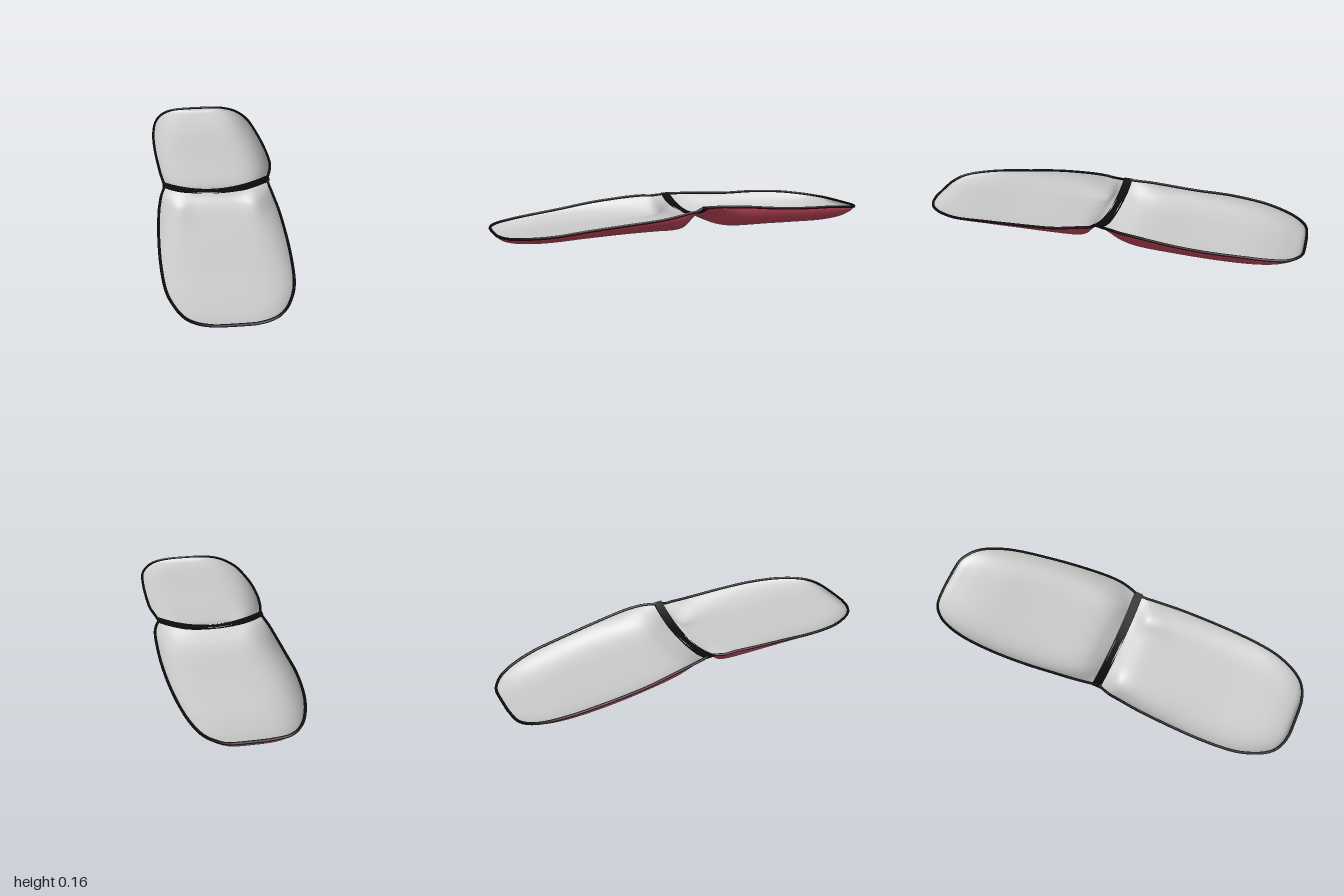
import * as THREE from 'three';

// Stations along z: [z, right-hand width (-x), left-hand width (+x), rim height, floor height,
//                    section exponent, corner lobe depth, sideways tilt, strip half width]
const FRONT = [
  [0.015, 0.265, 0.27, 0.145, 0.084, 2.0, 0.000, 0.02, 0.11],
  [0.045, 0.275, 0.275, 0.138, 0.076, 2.4, 0.012, 0.00, 0.11],
  [0.085, 0.285, 0.28, 0.136, 0.056, 3.5, 0.026, 0.00, 0.11],
  [0.14, 0.292, 0.287, 0.132, 0.042, 4.5, 0.018, -0.02, 0.11],
  [0.24, 0.302, 0.298, 0.122, 0.036, 5.0, 0.006, -0.03, 0.10],
  [0.42, 0.308, 0.303, 0.108, 0.031, 5.0, 0.000, -0.02, 0.095],
  [0.60, 0.304, 0.301, 0.090, 0.028, 5.0, 0.000, 0.00, 0.095],
  [0.76, 0.287, 0.288, 0.074, 0.022, 5.0, 0.000, 0.00, 0.09],
  [0.87, 0.250, 0.252, 0.066, 0.020, 4.5, 0.000, 0.00, 0.085],
  [0.94, 0.205, 0.205, 0.062, 0.025, 4.0, 0.000, 0.00, 0.08],
  [0.975, 0.150, 0.150, 0.061, 0.037, 4.0, 0.000, 0.00, 0.07],
  [0.990, 0.090, 0.090, 0.060, 0.060, 4.0, 0.000, 0.00, 0.065],
];
const BACK = [
  [-0.992, 0.08, 0.08, 0.068, 0.066, 4.0, 0.000, 0.00, 0.06],
  [-0.978, 0.175, 0.125, 0.070, 0.040, 4.0, 0.000, 0.00, 0.065],
  [-0.93, 0.235, 0.185, 0.077, 0.025, 4.0, 0.000, 0.00, 0.07],
  [-0.85, 0.275, 0.228, 0.089, 0.012, 4.5, 0.000, 0.00, 0.08],
  [-0.73, 0.302, 0.262, 0.103, 0.006, 4.5, 0.000, 0.00, 0.09],
  [-0.56, 0.312, 0.288, 0.113, 0.014, 5.0, 0.000, 0.00, 0.10],
  [-0.38, 0.305, 0.304, 0.122, 0.020, 5.0, 0.000, 0.02, 0.11],
  [-0.22, 0.292, 0.308, 0.137, 0.022, 5.0, 0.000, 0.03, 0.12],
  [-0.13, 0.284, 0.304, 0.144, 0.032, 4.0, 0.004, 0.03, 0.12],
  [-0.07, 0.276, 0.292, 0.147, 0.055, 3.0, 0.008, 0.03, 0.12],
  [-0.015, 0.268, 0.275, 0.146, 0.084, 2.0, 0.000, 0.02, 0.12],
];

// Smooth interpolation of a whole station; s runs 0..1 over the table
function station(table, s) {
  const f = s * (table.length - 1), i = Math.min(Math.floor(f), table.length - 2), t = f - i;
  const at = (k) => table[Math.max(0, Math.min(table.length - 1, k))];
  const [a, b, c, d] = [at(i - 1), at(i), at(i + 1), at(i + 2)];
  const v = b.map((p, k) => p + 0.5 * t * (c[k] - a[k]
    + t * (2 * a[k] - 5 * p + 4 * c[k] - d[k] + t * (3 * (p - c[k]) + d[k] - a[k]))));
  const [z, wr, wl, rim, floor, exp, lobe, tilt, strip] = v;
  return { z, wr, wl, rim, floor, exp, lobe, tilt, strip };
}

// Height of the shell at x on a station
function height(st, x, lift) {
  const u = Math.min(1, Math.abs(x) / (x > 0 ? st.wl : st.wr));
  const fill = Math.pow(1 - Math.pow(u, st.exp), 0.8);
  const rim = st.rim + st.tilt * x;
  return rim + (st.floor - rim) * fill + lift * fill
    - st.lobe * Math.exp(-Math.pow((u - 0.7) / 0.2, 2));
}

// Piece of shell between two x limits, facing up or down
function patch(table, from, to, { up = false, lift = 0, s0 = 0, s1 = 1, cols = 16 } = {}) {
  const rows = 66, pos = [], idx = [];
  for (let i = 0; i <= rows; i++) {
    const st = station(table, s0 + (s1 - s0) * i / rows);
    const a = from(st), b = to(st);
    for (let j = 0; j <= cols; j++) {
      const x = a + (b - a) * (1 - Math.cos(Math.PI * j / cols)) / 2;
      pos.push(x, height(st, x, lift), st.z);
      if (i < rows && j < cols) {
        const p = i * (cols + 1) + j, q = p + cols + 1;
        if (up) idx.push(p, q, p + 1, p + 1, q, q + 1);
        else idx.push(p, p + 1, q, p + 1, q + 1, q);
      }
    }
  }
  const g = new THREE.BufferGeometry();
  g.setAttribute('position', new THREE.Float32BufferAttribute(pos, 3));
  g.setIndex(idx);
  g.computeVertexNormals();
  return g;
}

// Table parameter at which the shell reaches a given z
function paramAt(table, z) {
  let lo = 0, hi = 1;
  for (let k = 0; k < 30; k++) {
    const m = (lo + hi) / 2;
    if (station(table, m).z < z) lo = m; else hi = m;
  }
  return lo;
}

export function createModel() {
  const model = new THREE.Group();
  const grey = new THREE.MeshStandardMaterial({ color: 0xcccccc });
  const red = new THREE.MeshStandardMaterial({ color: 0xcf4a60 });
  const dark = new THREE.MeshStandardMaterial({ color: 0x666666 });
  const black = new THREE.MeshStandardMaterial({ color: 0x0c0c0c });
  const add = (parent, name, geometry, material) => {
    const mesh = new THREE.Mesh(geometry, material);
    mesh.name = name;
    parent.add(mesh);
  };
  const right = (st) => -st.wr, left = (st) => st.wl;

  for (const [name, table, tipFirst] of [['frontShell', FRONT, false], ['backShell', BACK, true]]) {
    const shell = new THREE.Group();
    shell.name = name;
    model.add(shell);
    // Lining, coloured flanks and the centre strip underneath
    add(shell, 'lining', patch(table, right, left, { up: true, lift: 0.006, cols: 40 }), grey);
    add(shell, 'rightFlank', patch(table, right, (st) => -st.strip), red);
    add(shell, 'leftFlank', patch(table, (st) => st.strip, left), red);
    add(shell, 'centreStrip', patch(table, (st) => -st.strip, (st) => st.strip), dark);

    // Rim binding round both sides and the tip
    const edge = [];
    for (const side of [right, left]) {
      const run = [];
      for (let i = 0; i <= 40; i++) {
        const st = station(table, i / 40), x = side(st);
        run.push(new THREE.Vector3(x, height(st, x, 0), st.z));
      }
      if ((side === right) === tipFirst) run.reverse();
      edge.push(...run);
    }
    add(shell, 'rimBinding', new THREE.TubeGeometry(new THREE.CatmullRomCurve3(edge), 200, 0.007, 8), black);
  }

  // Two slots beside the strip of the front shell
  const slot = { lift: -0.002, s0: paramAt(FRONT, 0.43), s1: paramAt(FRONT, 0.82), cols: 4 };
  for (const side of [-1, 1]) {
    const mid = side * 0.12;
    add(model, side < 0 ? 'rightSlot' : 'leftSlot',
      patch(FRONT, () => mid - 0.023, () => mid + 0.023, slot), black);
  }

  // Curved hinge band joining the shells
  const band = new THREE.Shape(), n = 24;
  const curve = (x) => 0.084 + 0.062 * Math.pow(Math.abs(x) / 0.272, 2) + 0.02 * x;
  for (let i = 0; i <= n; i++) {
    const x = -0.276 + 0.556 * i / n;
    if (i) band.lineTo(x, curve(x) - 0.006); else band.moveTo(x, curve(x) - 0.006);
  }
  for (let i = n; i >= 0; i--) {
    const x = -0.276 + 0.556 * i / n;
    band.lineTo(x, curve(x) + 0.005);
  }
  const hinge = new THREE.ExtrudeGeometry(band, { depth: 0.046, bevelEnabled: false });
  hinge.translate(0, 0, -0.024);
  add(model, 'hingeBand', hinge, black);
  return model;
}
